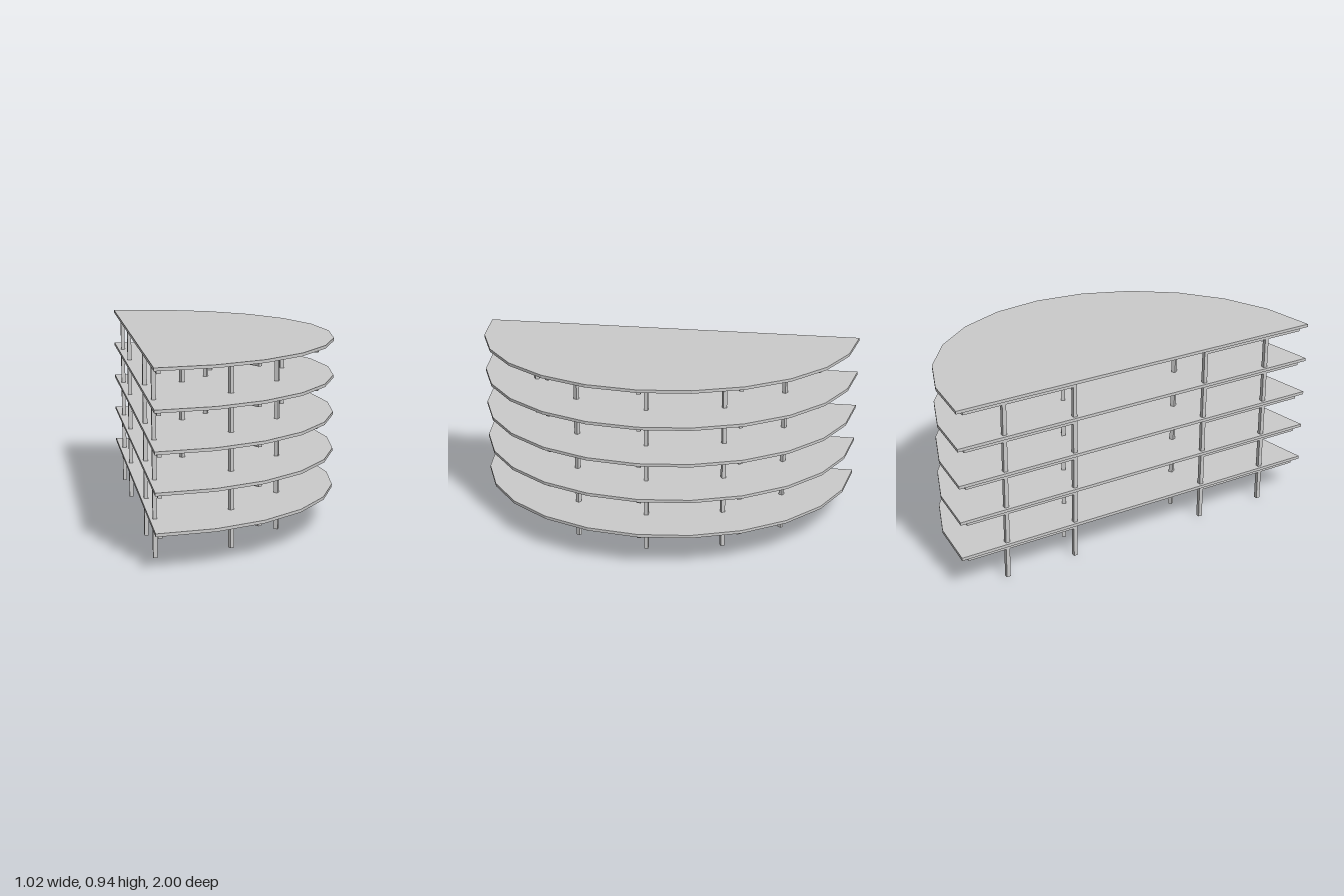
import * as THREE from 'three';

const STOREYS = 5, STOREY_HEIGHT = 0.1875, SLAB = 0.015, BEAM = 0.02;
const CENTRE_X = -0.485, RADIUS = 0.995;
const COLUMN_RADII = [0.375, 0.75];
const BEAM_START = 0.365, BEAM_END = 0.96;

export function createModel() {
  const model = new THREE.Group();
  model.name = 'halfRoundBuildingFrame';
  const material = new THREE.MeshStandardMaterial({ color: 0xcccccc, flatShading: true });

  const add = (parent, geometry, name, x, y, z) => {
    const mesh = new THREE.Mesh(geometry, material);
    mesh.name = name;
    mesh.position.set(x, y, z);
    parent.add(mesh);
  };

  // Faceted half-round floor plan, slightly extended past its straight edge
  const plan = new THREE.Shape();
  plan.moveTo(-0.51, -1);
  for (let i = -5; i <= 5; i++) {
    const a = i * Math.PI / 12;
    plan.lineTo(CENTRE_X + RADIUS * Math.cos(a), RADIUS * Math.sin(a));
  }
  plan.lineTo(-0.51, 1);
  plan.closePath();
  const slabGeometry = new THREE.ExtrudeGeometry(plan, { depth: SLAB, bevelEnabled: false });
  slabGeometry.rotateX(-Math.PI / 2);

  const columnHeight = STOREY_HEIGHT - SLAB - BEAM;
  const columnGeometry = new THREE.BoxGeometry(BEAM, columnHeight, BEAM);
  const beamGeometry = new THREE.BoxGeometry(BEAM_END - BEAM_START, BEAM, BEAM);

  for (let s = 0; s < STOREYS; s++) {
    const storey = new THREE.Group();
    storey.name = `storey${s + 1}`;
    storey.position.y = s * STOREY_HEIGHT;
    model.add(storey);
    add(storey, slabGeometry, 'floorSlab', 0, STOREY_HEIGHT - SLAB, 0);

    // Seven radial frames, each a beam on an inner and an outer column
    for (let i = -3; i <= 3; i++) {
      const frame = new THREE.Group();
      frame.name = 'radialFrame';
      frame.position.x = CENTRE_X;
      frame.rotation.y = i * Math.PI / 6;
      storey.add(frame);
      add(frame, beamGeometry, 'beam', (BEAM_START + BEAM_END) / 2, columnHeight + BEAM / 2, 0);
      for (const r of COLUMN_RADII) add(frame, columnGeometry, 'column', r, columnHeight / 2, 0);
    }
  }
  return model;
}
